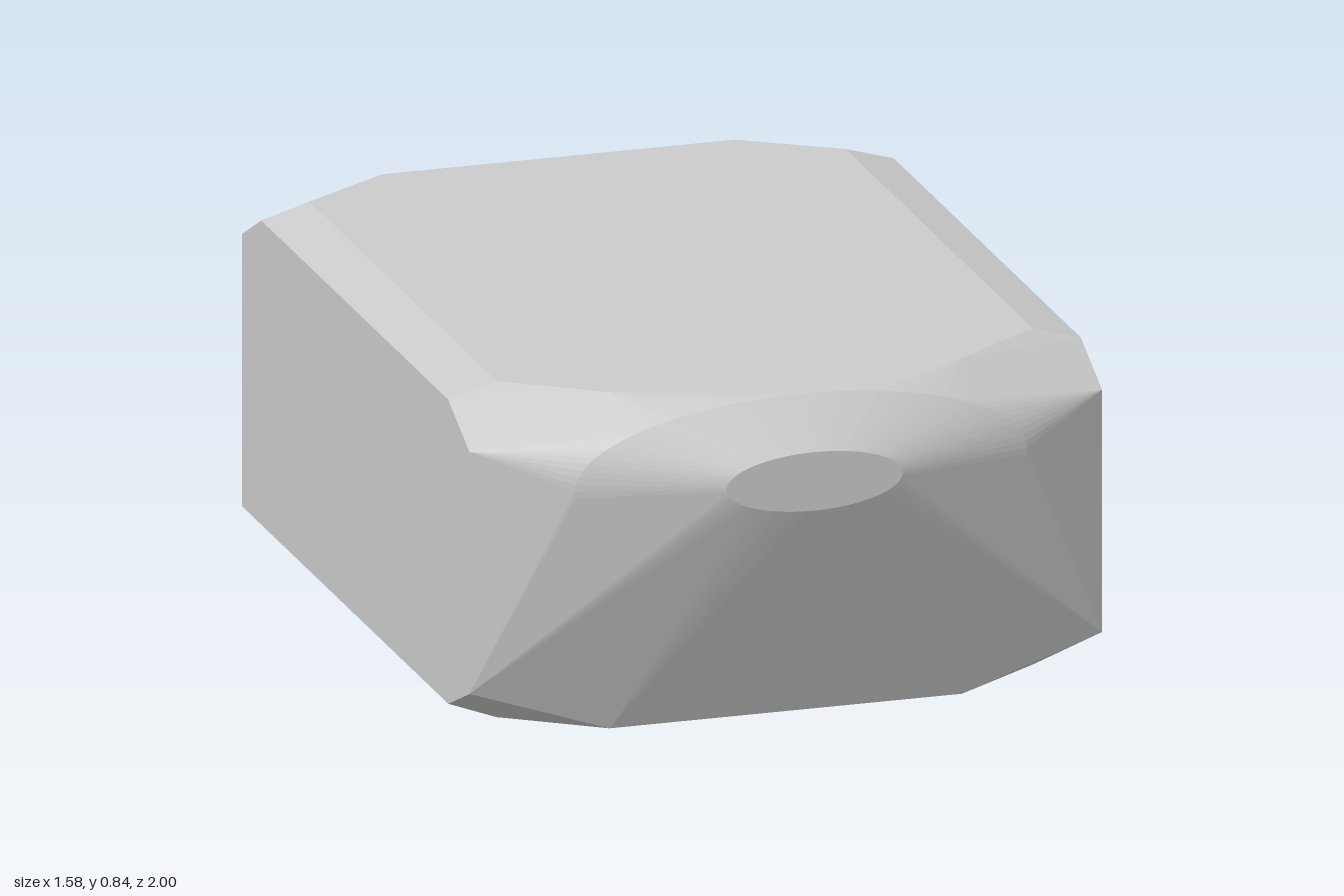
import * as THREE from 'three';
import { ConvexGeometry } from 'three/addons/geometries/ConvexGeometry.js';

// Points around an upright ellipse facing +z
function ellipse(cy, rx, ry, z, segments = 72) {
  return Array.from({ length: segments }, (_, i) => {
    const a = (i / segments) * Math.PI * 2;
    return new THREE.Vector3(rx * Math.cos(a), cy + ry * Math.sin(a), z);
  });
}

export function createModel() {
  const group = new THREE.Group();
  group.name = 'chamferedBlock';

  // Left-hand corners of the block, mirrored to the right
  const corners = [
    // back, upper chamfer
    [0.44, 0.84, -1], [0.67, 0.84, -0.85], [0.79, 0.805, -0.85], [0.79, 0.725, -1],
    // back, lower edge
    [0.67, 0, -1], [0.79, 0.045, -1],
    // front, upper chamfer
    [0.44, 0.84, 0.775], [0.67, 0.84, 0.61], [0.79, 0.805, 0.61], [0.79, 0.725, 0.775],
    // front, lower chamfer
    [0.44, 0, 0.775], [0.67, 0, 0.61], [0.79, 0.045, 0.61], [0.79, 0.12, 0.775],
  ];
  const points = corners.flatMap(([x, y, z]) =>
    [1, -1].map((side) => new THREE.Vector3(side * x, y, z)));

  // Nose: a wide brow ellipse tapering to a small flat tip
  points.push(...ellipse(0.64, 0.565, 0.19, 0.895));
  points.push(...ellipse(0.643, 0.22, 0.073, 1));

  const body = new THREE.Mesh(
    new ConvexGeometry(points),
    new THREE.MeshStandardMaterial({ color: 0xcccccc, flatShading: true }),
  );
  body.name = 'body';
  group.add(body);
  return group;
}
